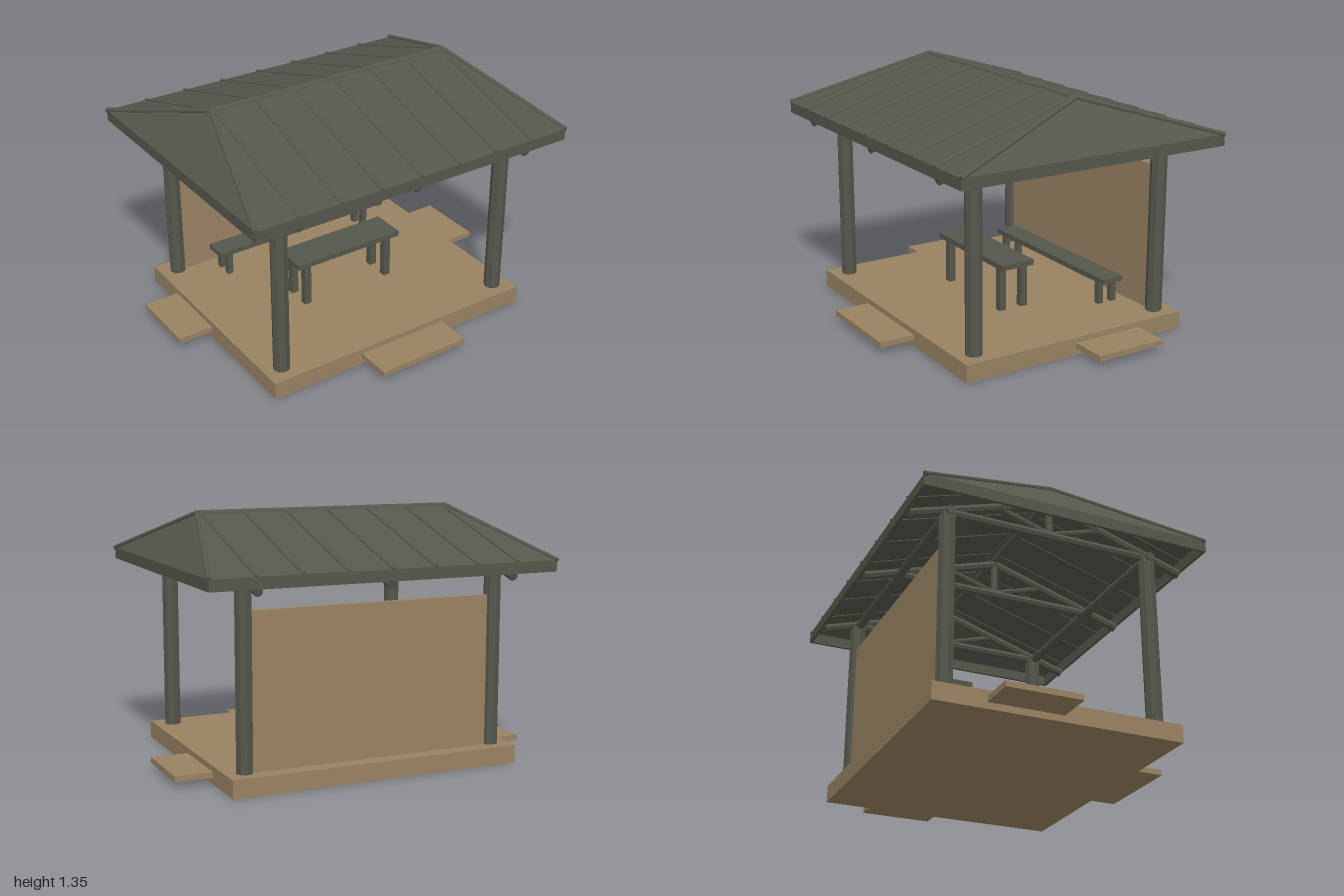
import * as THREE from 'three';

export function createModel() {
  const root = new THREE.Group();
  root.name = 'picnicPavilion';
  const tan = new THREE.MeshStandardMaterial({ color: 0x988262, flatShading: true });
  tan.name = 'tanPlanks';
  const dark = new THREE.MeshStandardMaterial({ color: 0x55574c, flatShading: true, side: THREE.DoubleSide });
  dark.name = 'darkTimber';

  const add = (name, geometry, material, parent = root) => {
    const mesh = new THREE.Mesh(geometry, material);
    mesh.name = name;
    parent.add(mesh);
    return mesh;
  };
  // Box given by its extents on each axis
  const box = (name, [x0, x1], [y0, y1], [z0, z1], material, parent) =>
    add(name, new THREE.BoxGeometry(x1 - x0, y1 - y0, z1 - z0), material, parent)
      .position.set((x0 + x1) / 2, (y0 + y1) / 2, (z0 + z1) / 2);
  // Round pole between two points
  const pole = (name, a, b, radius, parent, sides = 8) => {
    const start = new THREE.Vector3(...a), end = new THREE.Vector3(...b);
    const dir = end.clone().sub(start);
    const mesh = add(name, new THREE.CylinderGeometry(radius, radius, dir.length(), sides), dark, parent);
    mesh.position.copy(start).add(end).multiplyScalar(0.5);
    mesh.quaternion.setFromUnitVectors(new THREE.Vector3(0, 1, 0), dir.normalize());
  };
  const group = (name) => {
    const g = new THREE.Group();
    g.name = name;
    root.add(g);
    return g;
  };

  // Deck, steps and back wall
  box('deck', [-0.8, 0.8], [0, 0.095], [-0.705, 0.63], tan);
  box('frontStep', [-0.265, 0.265], [0.035, 0.065], [0.63, 0.825], tan);
  box('leftStep', [0.8, 1], [0.035, 0.065], [-0.425, -0.025], tan);
  box('rightStep', [-1, -0.8], [0.035, 0.065], [-0.425, -0.025], tan);
  box('backWall', [-0.67, 0.67], [0.095, 0.9], [-0.62, -0.59], tan);

  // Posts and the beams they carry
  const frame = group('frame');
  const frontZ = 0.53, backZ = -0.605, midZ = -0.04;
  for (const z of [frontZ, backZ]) {
    for (const x of [-0.7, 0.7]) pole('post', [x, 0.095, z], [x, 1.06, z], 0.045, frame);
    pole('wallPlate', [-0.75, 1.06, z], [0.75, 1.06, z], 0.025, frame);
  }

  // Trusses: tie beam, king post, rafters and struts
  const trusses = group('trusses');
  for (const x of [-0.7, 0, 0.7]) {
    pole('tieBeam', [x, 1.065, backZ], [x, 1.065, frontZ], 0.025, trusses);
    pole('kingPost', [x, 1.065, midZ], [x, 1.255, midZ], 0.02, trusses);
    for (const s of [-1, 1]) {
      pole('rafter', [x, 1.015, midZ + s * 0.765], [x, 1.255, midZ], 0.025, trusses);
      pole('strut', [x, 1.075, midZ], [x, 1.165, midZ + s * 0.29], 0.016, trusses);
    }
  }
  pole('ridgeBeam', [-0.72, 1.28, midZ], [0.72, 1.28, midZ], 0.02, trusses);

  // Hipped roof skin: two long slopes and two end slopes
  const roof = group('roof');
  const X = 0.95, R = 0.73, eave = 1.09, top = 1.333, zB = -0.825, zF = 0.745;
  const skin = new THREE.BufferGeometry();
  skin.setAttribute('position', new THREE.Float32BufferAttribute([
    -X, eave, zF, X, eave, zF, X, eave, zB, -X, eave, zB,
    -R, top, midZ, R, top, midZ,
  ], 3));
  skin.setIndex([0, 1, 5, 0, 5, 4, 2, 3, 4, 2, 4, 5, 1, 2, 5, 3, 0, 4]);
  const skinFlat = skin.toNonIndexed();
  skinFlat.computeVertexNormals();
  add('roofSkin', skinFlat, dark, roof);

  // Fascia boards around the eaves
  const fy = [1.03, eave], t = 0.015;
  box('frontFascia', [-X, X], fy, [zF - t, zF], dark, roof);
  box('backFascia', [-X, X], fy, [zB, zB + t], dark, roof);
  box('leftFascia', [X - t, X], fy, [zB + t, zF - t], dark, roof);
  box('rightFascia', [-X, -X + t], fy, [zB + t, zF - t], dark, roof);

  // Ridge cap, hip caps and standing seams
  pole('ridgeCap', [-R, top - 0.006, midZ], [R, top - 0.006, midZ], 0.019, roof);
  for (const z of [zB, zF]) {
    for (const s of [-1, 1]) pole('hipCap', [s * X, eave, z], [s * R, top, midZ], 0.013, roof);
    for (let i = -3; i <= 3; i++) {
      pole('seam', [i * 0.238, eave, z], [i * 0.238, top, midZ], 0.01, roof, 6);
    }
  }

  // Table and bench share one layout
  const furniture = (name, halfX, topY, z, legX, legZ, legSize) => {
    const g = group(name);
    box(name + 'Top', [-halfX, halfX], topY, z, dark, g);
    const h = legSize / 2;
    for (const x of [-legX, legX]) {
      for (const lz of legZ) {
        box(name + 'Leg', [x - h, x + h], [0.095, topY[0]], [lz - h, lz + h], dark, g);
      }
    }
  };
  furniture('table', 0.335, [0.34, 0.37], [-0.07, 0.13], 0.267, [0.095, -0.04], 0.04);
  furniture('bench', 0.53, [0.222, 0.25], [-0.52, -0.39], 0.467, [-0.412, -0.498], 0.033);

  return root;
}
